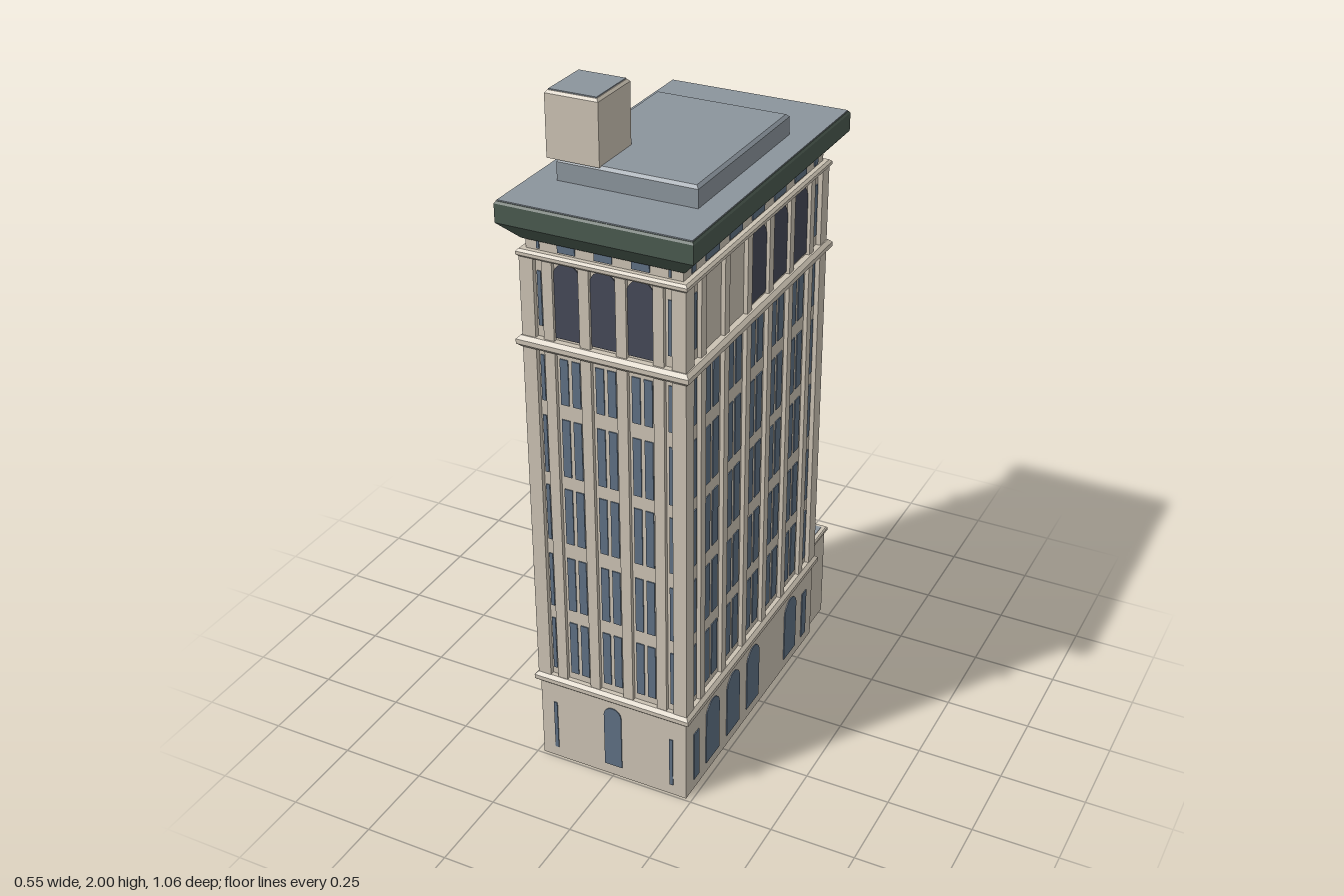
import * as THREE from 'three';

const mat = (name, color) => Object.assign(new THREE.MeshStandardMaterial({ color }), { name });

export function createModel() {
  const stone = mat('stone', 0xcbc2b3);
  stone.side = THREE.DoubleSide;
  const glass = mat('window glass', 0x5f7083);
  const dark = mat('dark arch glass', 0x454957);
  const green = mat('cornice green', 0x4a594f);
  const slate = mat('roof slate', 0x8b949c);

  const model = new THREE.Group();
  model.name = 'tower';
  const add = (parent, name, geometry, material) => {
    const mesh = new THREE.Mesh(geometry, material);
    mesh.name = name;
    parent.add(mesh);
    return mesh;
  };

  // Rectangular solid through rings [y, outward growth]; the bottom may stay open
  const stack = (x0, x1, z0, z1, rings, bottom = true) => {
    const pos = [];
    const ring = ([y, g]) => [
      [x0 - g, y, z1 + g], [x1 + g, y, z1 + g], [x1 + g, y, z0 - g], [x0 - g, y, z0 - g],
    ];
    const quad = (a, b, c, d) => pos.push(...a, ...b, ...c, ...a, ...c, ...d);
    for (let i = 0; i < rings.length - 1; i++) {
      const lo = ring(rings[i]), hi = ring(rings[i + 1]);
      for (let k = 0; k < 4; k++) {
        const n = (k + 1) % 4;
        quad(lo[k], lo[n], hi[n], hi[k]);
      }
    }
    quad(...ring(rings[rings.length - 1]));
    if (bottom) quad(...ring(rings[0]).reverse());
    const g = new THREE.BufferGeometry();
    g.setAttribute('position', new THREE.Float32BufferAttribute(pos, 3));
    g.computeVertexNormals();
    return g;
  };

  // Main plan
  const HX = 0.232, HZ = 0.44, ZC = 0.052, RECESS = 0.01;
  const body = (rings, bottom) => stack(-HX, HX, ZC - HZ, ZC + HZ, rings, bottom);

  add(model, 'base', body([[0, 0], [0.27, 0]], false), stone);
  add(model, 'shaft', body([[0.27, -RECESS], [1.66, -RECESS]]), stone);
  const belts = [['lowerBelt', 0.263, 0.295, 0.013], ['middleBelt', 1.345, 1.378, 0.017], ['upperBelt', 1.6, 1.622, 0.01]];
  for (const [name, y0, y1, g] of belts) {
    const c = (y1 - y0) * 0.3;
    add(model, name, body([[y0, g - c], [y0 + c, g], [y1 - c, g], [y1, g - c]]), stone);
  }

  // Rear annex
  add(model, 'annexWalls', stack(-0.235, 0.215, -0.52, -0.388, [[0, 0], [0.305, 0]], false), stone);
  add(model, 'annexCoping', stack(-0.235, 0.215, -0.52, -0.388, [[0.303, 0.003], [0.308, 0.008], [0.316, 0.008], [0.32, 0.004]]), stone);
  add(model, 'annexRoof', stack(-0.227, 0.207, -0.512, -0.388, [[0.318, 0], [0.322, 0]]), slate);

  // Cornice and roof
  add(model, 'cornice', body([[1.65, -0.002], [1.7, 0.044], [1.752, 0.044], [1.758, 0.04]]), green);
  add(model, 'roof', body([[1.756, 0.038], [1.761, 0.038]]), slate);
  add(model, 'roofSlab', stack(-0.198, 0.2, -0.188, 0.358, [[1.758, 0], [1.812, 0], [1.82, -0.008]]), slate);

  // Roof hut with a thin raised roof panel
  add(model, 'roofHut', stack(-0.225, -0.073, 0.192, 0.36, [[1.818, 0], [1.99, 0], [1.997, -0.006]]), stone);
  add(model, 'roofHutTop', stack(-0.217, -0.081, 0.2, 0.352, [[1.994, 0], [2, 0]]), slate);

  // Facade pieces, in local coordinates: x along the wall, z outward
  const plate = (parent, name, x, y0, y1, w, z, material, depth = 0.006) => {
    const mesh = add(parent, name, new THREE.BoxGeometry(w, y1 - y0, depth), material);
    mesh.position.set(x, (y0 + y1) / 2, z);
  };
  const arch = (parent, name, x, y0, y1, w, z, material) => {
    const r = w / 2, s = new THREE.Shape();
    s.moveTo(-r, y0);
    s.lineTo(r, y0);
    s.lineTo(r, y1 - r);
    s.absarc(0, y1 - r, r, 0, Math.PI, false);
    s.lineTo(-r, y0);
    const g = new THREE.ExtrudeGeometry(s, { depth: 0.006, bevelEnabled: false, curveSegments: 8 });
    add(parent, name, g, material).position.set(x, 0, z - 0.003);
  };

  const rows = [[0.317, 0.49], [0.533, 0.707], [0.755, 0.93], [0.97, 1.145], [1.19, 1.325]];
  const narrow = { bays: 3, pitch: 0.105, end: 0.186, endW: 0.011, win: 0.024, off: 0.0175, baseArch: 0.055, topArch: 0.078, frieze: 0.05, pier: 0.03, out: HZ };
  const wide = { bays: 5, pitch: 0.136, end: 0.377, endW: 0.032, win: 0.034, off: 0.0245, baseArch: 0.085, topArch: 0.105, frieze: 0.075, pier: 0.028, out: HX };

  const facade = (name, angle, f, baseBays, arcadeBays) => {
    const side = new THREE.Group();
    side.name = name;
    side.rotation.y = angle;
    side.position.z = ZC;
    model.add(side);
    const wall = f.out - RECESS;
    for (let i = 0; i < f.bays; i++) {
      const x = (i - (f.bays - 1) / 2) * f.pitch;
      for (const [y0, y1] of rows)
        for (const s of [-1, 1]) plate(side, 'window', x + s * f.off, y0, y1, f.win, wall, glass);
      if (baseBays.includes(i)) arch(side, 'baseArch', x, 0.035, 0.24, f.baseArch, f.out, glass);
      if (arcadeBays.includes(i)) arch(side, 'arcadeArch', x, 1.385, 1.6, f.topArch, wall, dark);
      plate(side, 'friezeWindow', x, 1.627, 1.65, f.frieze, wall, glass);
    }
    // Piers between the bays
    for (let i = 0; i <= f.bays; i++)
      plate(side, 'pier', (i - f.bays / 2) * f.pitch, 0.28, 1.61, f.pier, wall + 0.005, stone, 0.014);
    // Slim windows beside the corners
    for (const s of [-1, 1]) {
      for (const [y0, y1] of rows) plate(side, 'endWindow', s * f.end, y0, y1, f.endW, wall, glass);
      plate(side, 'baseEndWindow', s * f.end, 0.035, 0.197, f.endW, f.out, glass);
      plate(side, 'arcadeEndWindow', s * f.end, 1.41, 1.565, f.endW, wall, glass);
      plate(side, 'friezeEndWindow', s * f.end, 1.627, 1.65, f.endW * 0.7, wall, glass);
    }
  };
  facade('frontFacade', 0, narrow, [1], [0, 1, 2]);
  facade('backFacade', Math.PI, narrow, [1], [1, 2]);
  facade('leftFacade', Math.PI / 2, wide, [0, 1, 2, 4], [2, 3, 4]);
  facade('rightFacade', -Math.PI / 2, wide, [0, 1, 2, 3, 4], [0, 1]);

  // Corner posts
  for (const sx of [-1, 1])
    for (const sz of [-1, 1]) {
      const post = add(model, 'cornerPost', new THREE.BoxGeometry(0.04, 1.33, 0.045), stone);
      post.position.set(sx * (HX + 0.004 - 0.02), 0.945, ZC + sz * (HZ + 0.004 - 0.0225));
    }

  return model;
}
